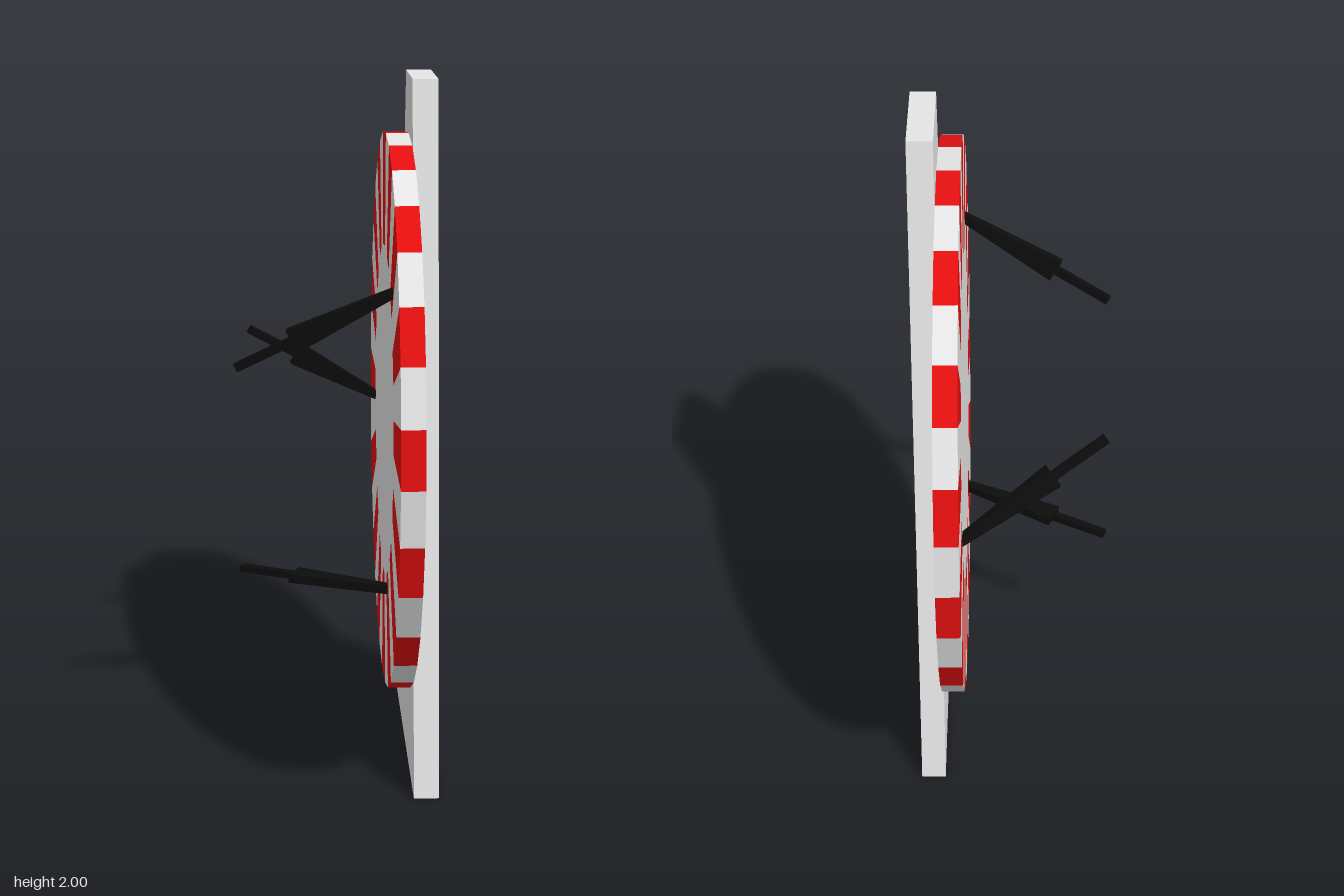
import * as THREE from 'three';
import { mergeGeometries } from 'three/addons/utils/BufferGeometryUtils.js';

const paint = (name, color) => {
  const m = new THREE.MeshStandardMaterial({ color });
  m.name = name;
  return m;
};

function mesh(name, geometry, material) {
  const m = new THREE.Mesh(geometry, material);
  m.name = name;
  return m;
}

// Flat four-cornered face, corners counter-clockwise
function quad(a, b, c, d) {
  const g = new THREE.BufferGeometry();
  g.setAttribute('position', new THREE.Float32BufferAttribute([a, b, c, a, c, d].flat(), 3));
  g.computeVertexNormals();
  return g;
}

function polygon(points, depth) {
  const shape = new THREE.Shape(points.map(([x, y]) => new THREE.Vector2(x, y)));
  return new THREE.ExtrudeGeometry(shape, { depth, bevelEnabled: false });
}

export function createModel() {
  const white = paint('white', 0xe6e6e6);
  const red = paint('red', 0xe60f0f);
  const black = paint('black', 0x0d0d0d);
  const model = new THREE.Group();
  model.name = 'dartTarget';

  // Tapered stand behind the disc
  const stand = mesh('stand', polygon([[-0.5, 0], [0.5, 0], [0.14, 2], [-0.14, 2]], 0.072), white);
  stand.rotation.y = Math.PI / 2;
  stand.position.x = 0.216;
  model.add(stand);

  // Striped disc, modelled facing +z and then turned to face -x
  const R = 0.817, inner = 0.49, half = 0.0325, N = 32;
  const disc = new THREE.Group();
  disc.name = 'disc';
  const at = (r, i, z) => {
    const a = (i / N) * Math.PI * 2;
    return [r * Math.cos(a), r * Math.sin(a), z];
  };
  const stripes = [[], []];
  for (let i = 0; i < N; i++) {
    stripes[i % 2].push(
      quad(at(inner, i, half), at(R, i, half), at(R, i + 1, half), at(inner, i + 1, half)),
      quad(at(R, i, half), at(R, i, -half), at(R, i + 1, -half), at(R, i + 1, half)),
    );
  }
  disc.add(mesh('redStripes', mergeGeometries(stripes[0]), red));
  disc.add(mesh('whiteStripes', mergeGeometries(stripes[1]), white));
  const hub = mesh('hub', new THREE.CircleGeometry(inner, N), white);
  hub.position.z = half;
  const back = mesh('discBack', new THREE.CircleGeometry(R, N), red);
  back.position.z = -half;
  back.rotation.x = Math.PI;
  disc.add(hub, back);
  disc.rotation.y = -Math.PI / 2;
  disc.position.set(0.183, 1.017, 0);
  model.add(disc);

  // Darts: square shaft and flat tapering head; "flat" is the direction the head faces
  function dart(tail, tip, flat) {
    const from = new THREE.Vector3(...tail), to = new THREE.Vector3(...tip);
    const axis = to.clone().sub(from), L = axis.length();
    axis.normalize();
    const side = axis.clone().cross(new THREE.Vector3(...flat)).normalize();
    const normal = side.clone().cross(axis);
    const g = new THREE.Group();
    g.name = 'dart';
    const s = L * 0.35;
    const shaft = mesh('dartShaft', new THREE.BoxGeometry(0.024, s, 0.02), black);
    shaft.position.y = s / 2;
    const head = mesh('dartHead', polygon([[-0.036, s], [0.036, s], [0.011, L], [-0.011, L]], 0.026), black);
    head.position.z = -0.013;
    g.add(shaft, head);
    g.quaternion.setFromRotationMatrix(new THREE.Matrix4().makeBasis(side, axis, normal));
    g.position.copy(from);
    model.add(g);
  }
  dart([-0.28, 1.22, 0.295], [0.17, 1.46, 0.4], [0, 0, 1]);
  dart([-0.25, 1.185, -0.348], [0.17, 0.925, -0.493], [0, 0, 1]);
  dart([-0.275, 0.533, 0.02], [0.17, 0.544, 0.255], [0, 1, 0]);

  return model;
}
